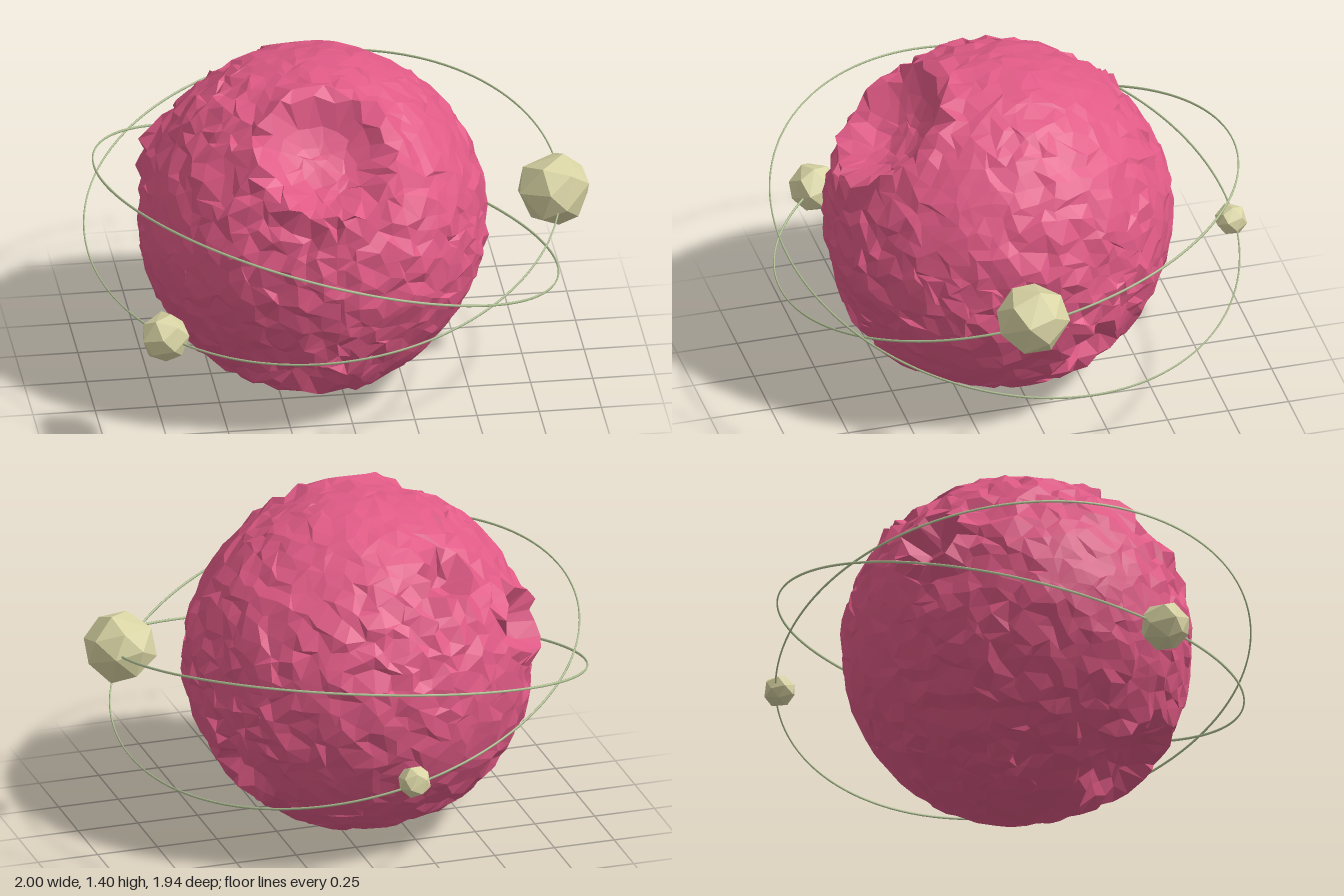
import * as THREE from 'three';
import { mergeVertices } from 'three/addons/utils/BufferGeometryUtils.js';
import { ConvexGeometry } from 'three/addons/geometries/ConvexGeometry.js';

const V = (x, y, z) => new THREE.Vector3(x, y, z);

// Small seeded generator returning values in -1..1
function seeded(seed) {
  let s = seed;
  return () => {
    s = (s * 1664525 + 1013904223) % 4294967296;
    return (s / 4294967296) * 2 - 1;
  };
}

// Craters: direction from the planet's centre, radius, depth, rim height
const craters = [
  { dir: V(0, 0.51, 0.45), r: 0.25, depth: 0.14, rim: 0.028 },
  { dir: V(-0.06, -0.52, 0.43), r: 0.2, depth: 0.1, rim: 0.018 },
  { dir: V(0.55, -0.33, -0.23), r: 0.125, depth: 0.11, rim: 0.015 },
  { dir: V(-0.24, 0.49, -0.43), r: 0.1, depth: 0.1, rim: 0.015 },
  { dir: V(-0.56, 0.22, -0.36), r: 0.125, depth: 0.11, rim: 0.045 },
];
craters.forEach((c) => c.dir.normalize());

// Faceted globe: shared vertices are jittered, dug into craters and raised at rims
function planetGeometry() {
  const R = 0.688;
  const rnd = seeded(7);
  let geo = new THREE.IcosahedronGeometry(1, 13);
  geo.deleteAttribute('uv');
  geo.deleteAttribute('normal');
  geo = mergeVertices(geo, 1e-4);
  const pos = geo.attributes.position;
  for (let i = 0; i < pos.count; i++) {
    const n = V(0, 0, 0).fromBufferAttribute(pos, i).normalize();
    const p = n.clone().multiplyScalar(R);
    p.add(V(rnd(), rnd(), rnd()).multiplyScalar(0.026)).normalize();
    // Rough and calm regions alternate over the surface
    const patch = Math.sin(3.1 * n.x - 1.3) * Math.cos(2.7 * n.z + 0.8) + Math.sin(4 * n.y + 2 * n.x);
    let rough = 0.011 + 0.005 * THREE.MathUtils.clamp(patch, -1, 1);
    let height = 0.005 * Math.sin(7 * n.x + 2) * Math.sin(6 * n.y + 5 * n.z);
    for (const c of craters) {
      const d = (p.angleTo(c.dir) * R) / c.r;
      if (d < 1) height -= c.depth * (1 - d ** 3);
      if (d < 0.9) rough *= 0.4;
      const edge = Math.exp(-(((d - 1.1) / 0.2) ** 2));
      height += c.rim * edge;
      rough += 0.005 * edge;
    }
    p.multiplyScalar(R + height + rnd() * rough + 0.006);
    pos.setXYZ(i, p.x, p.y, p.z);
  }
  geo = geo.toNonIndexed();
  geo.computeVertexNormals();
  return geo;
}

// Coarse cut stone: hull of a few points spiralling over a sphere
function moonGeometry(radius, seed) {
  const rnd = seeded(seed);
  const count = 20;
  const points = [];
  for (let i = 0; i < count; i++) {
    const y = 1 - (2 * i + 1) / count;
    const a = i * 2.39996;
    const s = Math.sqrt(1 - y * y);
    const p = V(s * Math.cos(a), y, s * Math.sin(a));
    p.add(V(rnd(), rnd(), rnd()).multiplyScalar(0.12)).setLength(radius);
    points.push(p);
  }
  return new ConvexGeometry(points);
}

// Thin closed orbit, taller than wide, tilted so that y = slopeX * x + slopeZ * z
function orbitGeometry(radius, slopeX, slopeZ) {
  const up = V(-slopeX, 1, -slopeZ).normalize();
  const turn = new THREE.Quaternion().setFromUnitVectors(V(0, 0, 1), up);
  return new THREE.TorusGeometry(radius, 0.0035, 6, 128).scale(1, 1, 1.6).applyQuaternion(turn);
}

export function createModel() {
  const rock = new THREE.MeshStandardMaterial({ color: 0xe05a86 });
  rock.name = 'pink rock';
  const moonStone = new THREE.MeshStandardMaterial({ color: 0xd8d3a3 });
  moonStone.name = 'pale moon stone';
  const orbitGreen = new THREE.MeshStandardMaterial({ color: 0xb3c496 });
  orbitGreen.name = 'pale orbit green';

  const model = new THREE.Group();
  model.name = 'planetWithMoons';
  const add = (name, geo, mat, x, y, z) => {
    const mesh = new THREE.Mesh(geo, mat);
    mesh.name = name;
    mesh.position.set(x, y, z);
    model.add(mesh);
  };

  add('planet', planetGeometry(), rock, -0.1, 0.714, 0.035);

  // Two crossing orbits
  add('orbitFallingRight', orbitGeometry(0.957, -0.283, 0.15), orbitGreen, -0.042, 0.705, 0.022);
  add('orbitRisingRight', orbitGeometry(0.952, 0.12, -0.22), orbitGreen, -0.055, 0.735, 0.012);

  // Moons riding on the orbits
  add('largeMoon', moonGeometry(0.15, 31), moonStone, 0.855, 0.83, 0.155);
  add('middleMoon', moonGeometry(0.102, 48), moonStone, -0.77, 0.52, 0.61);
  add('smallMoon', moonGeometry(0.067, 65), moonStone, -0.03, 0.565, -0.91);

  return model;
}
